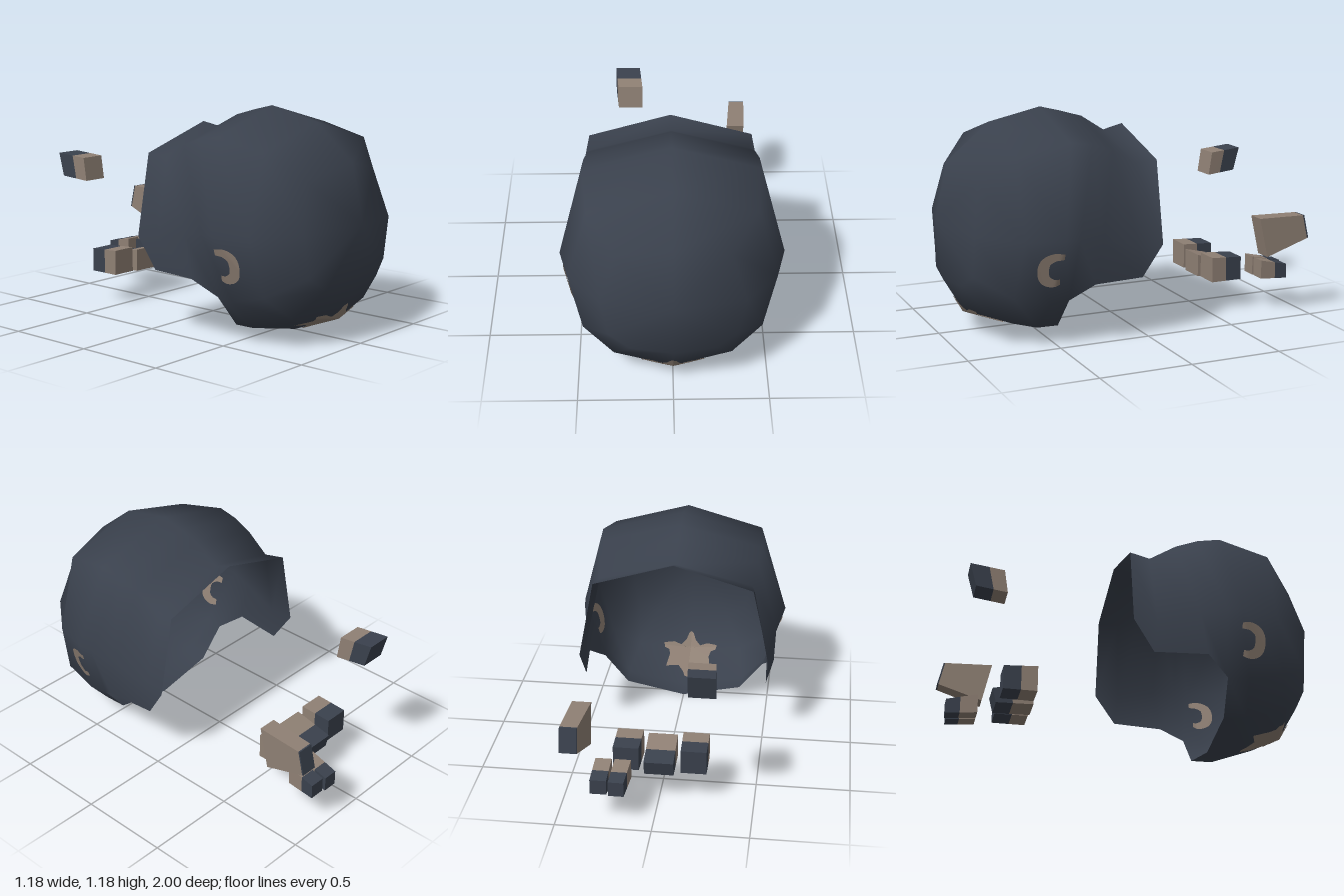
import * as THREE from 'three';
import { mergeVertices } from 'three/addons/utils/BufferGeometryUtils.js';

const flat = (name, color, side = THREE.FrontSide) => {
  const m = new THREE.MeshStandardMaterial({ color, side });
  m.name = name;
  return m;
};

// Half of the shell: spokes running from the front centre to the open rim, as [x, y, z]
const APEX = [0, 0.62, 1];
const SPOKES = [
  // top centre
  [[0, 0.93, 0.93], [0, 1.12, 0.7], [0, 1.185, 0.41], [0, 1.155, 0.29], [0, 1.12, 0.17], [0, 1.03, 0.03], [0, 1.065, -0.07]],
  // upper corner
  [[0.29, 0.86, 0.86], [0.43, 1.0, 0.7], [0.46, 1.06, 0.42], [0.455, 1.04, 0.3], [0.44, 1.0, 0.18], [0.42, 0.92, 0.04], [0.44, 0.935, -0.07]],
  // side
  [[0.37, 0.6, 0.91], [0.54, 0.585, 0.7], [0.59, 0.585, 0.5], [0.58, 0.58, 0.42], [0.55, 0.56, 0.28], [0.51, 0.5, 0.06], [0.525, 0.5, -0.07]],
  // lower side, ending along the bottom edge of the opening
  [[0.33, 0.38, 0.91], [0.47, 0.28, 0.74], [0.485, 0.235, 0.55], [0.47, 0.24, 0.44], [0.54, 0.33, 0.32], [0.51, 0.33, 0.04], [0.525, 0.5, -0.07]],
  // chin corner
  [[0.22, 0.31, 0.94], [0.31, 0.15, 0.8], [0.345, 0.075, 0.57], [0.335, 0.07, 0.45]],
  // chin centre
  [[0, 0.3, 0.97], [0, 0.11, 0.86], [0, 0, 0.58], [0, 0, 0.45]],
];

function shellGeometry() {
  const spokes = [];
  for (let k = 0; k < 10; k++) {
    spokes.push(k <= 5 ? SPOKES[k] : SPOKES[10 - k].map(([x, y, z]) => [-x, y, z]));
  }
  const pos = [];
  const tri = (a, b, c) => {
    const same = (p, q) => p.every((v, i) => v === q[i]);
    if (!same(a, b) && !same(b, c) && !same(a, c)) pos.push(...a, ...b, ...c);
  };
  spokes.forEach((s, k) => {
    const n = spokes[(k + 1) % 10];
    tri(APEX, n[0], s[0]);
    for (let r = 0; r < Math.min(s.length, n.length) - 1; r++) {
      tri(s[r], n[r], n[r + 1]);
      tri(s[r], n[r + 1], s[r + 1]);
    }
  });
  let g = new THREE.BufferGeometry();
  g.setAttribute('position', new THREE.Float32BufferAttribute(pos, 3));
  g = mergeVertices(g);
  g.computeVertexNormals();
  return g;
}

// Lays a grid of flat points onto the shell along a ray, lifted slightly off the surface
function decalGeometry(shell, nu, nv, point, toRay, lift) {
  const pos = [], index = [];
  for (let i = 0; i <= nu; i++) {
    for (let j = 0; j <= nv; j++) {
      const [a, b] = point(i / nu, j / nv);
      const [origin, dir] = toRay(a, b);
      const hit = new THREE.Raycaster(origin, dir).intersectObject(shell)[0];
      const p = hit ? hit.point.clone().addScaledVector(hit.face.normal, lift) : origin;
      if (!hit) p.set(0, 0.3, 0.9);
      pos.push(p.x, p.y, p.z);
    }
  }
  const w = nv + 1;
  for (let i = 0; i < nu; i++) {
    for (let j = 0; j < nv; j++) {
      const a = i * w + j;
      index.push(a, a + w, a + w + 1, a, a + w + 1, a + 1);
    }
  }
  const g = new THREE.BufferGeometry();
  g.setAttribute('position', new THREE.Float32BufferAttribute(pos, 3));
  g.setIndex(index);
  g.computeVertexNormals();
  return g;
}

// Star outline on the chin, right half, from top to bottom
const STAR = [[0, 0.2], [0.015, 0.19], [0.03, 0.155], [0.06, 0.13], [0.105, 0.148], [0.165, 0.147], [0.16, 0.125],
  [0.13, 0.115], [0.122, 0.1], [0.135, 0.066], [0.06, 0.06], [0.03, 0.04], [0.015, 0.024], [0, 0.02]];
const starLoop = [...STAR, ...STAR.slice(1, -1).reverse().map(([x, y]) => [-x, y]), STAR[0]];

function starPoint(u, v) {
  const f = u * (starLoop.length - 1), i = Math.min(Math.floor(f), starLoop.length - 2), t = f - i;
  const mix = (k) => starLoop[i][k] * (1 - t) + starLoop[i + 1][k] * t;
  return [mix(0) * v, 0.1 + (mix(1) - 0.1) * v];
}

// Hook mark on each side, as [z, y]
const hook = new THREE.CatmullRomCurve3([[0.5, 0.5], [0.55, 0.5], [0.593, 0.473], [0.602, 0.42], [0.588, 0.378], [0.55, 0.358], [0.512, 0.362]]
  .map(([z, y]) => new THREE.Vector3(z, y, 0)));

function hookPoint(u, v) {
  const p = hook.getPoint(u), t = hook.getTangent(u);
  const w = (v - 0.5) * (0.03 + 0.028 * Math.sin(Math.PI * u));
  return [p.x - t.y * w, p.y + t.x * w];
}

// Tapered block; each end is [x0, x1, yBottom, yTop, zBottom, zTop], t runs front to back
function blockGeometry(front, back, t0, t1) {
  const g = new THREE.BoxGeometry(1, 1, 1), p = g.attributes.position;
  for (let i = 0; i < p.count; i++) {
    const t = p.getZ(i) > 0 ? t0 : t1;
    const e = front.map((f, k) => f + (back[k] - f) * t);
    const top = p.getY(i) > 0;
    p.setXYZ(i, p.getX(i) > 0 ? e[1] : e[0], top ? e[3] : e[2], top ? e[5] : e[4]);
  }
  g.computeVertexNormals();
  return g;
}

export function createModel() {
  const model = new THREE.Group();
  const slate = flat('dark slate', 0x3a414d, THREE.DoubleSide);
  const tan = flat('warm tan', 0x8f8074, THREE.DoubleSide);
  const add = (name, geometry, material, parent = model) => {
    const m = new THREE.Mesh(geometry, material);
    m.name = name;
    parent.add(m);
    return m;
  };

  // Open-backed shell
  const shell = add('shell', shellGeometry(), slate);
  shell.updateMatrixWorld(true);

  // Painted marks, on the outer and inner faces
  for (const lift of [0.005, -0.005]) {
    const face = lift > 0 ? 'Outer' : 'Inner';
    add('chinStar' + face, decalGeometry(shell, 104, 8, starPoint,
      (x, y) => [new THREE.Vector3(x, y, 3), new THREE.Vector3(0, 0, -1)], lift), tan);
    for (const s of [1, -1]) {
      add((s > 0 ? 'left' : 'right') + 'Hook' + face, decalGeometry(shell, 32, 6, hookPoint,
        (z, y) => [new THREE.Vector3(3 * s, y, z), new THREE.Vector3(-s, 0, 0)], lift), tan);
    }
  }

  // Loose blocks behind the shell: tan towards the front, slate towards the back
  const blocks = [
    ['rightToe', [-0.25, -0.11, 0.17, 0.31, -0.52, -0.52], [-0.25, -0.115, 0.17, 0.3, -0.7, -0.7], 0.48],
    ['middleToe', [-0.08, 0.075, 0.165, 0.29, -0.515, -0.515], [-0.08, 0.075, 0.16, 0.24, -0.715, -0.735], 0.55],
    ['leftToe', [0.1, 0.24, 0.17, 0.31, -0.52, -0.52], [0.105, 0.24, 0.17, 0.3, -0.7, -0.7], 0.48],
    ['innerPairBlock', [0.13, 0.215, 0.18, 0.285, -0.79, -0.79], [0.145, 0.225, 0.17, 0.25, -0.96, -0.96], 0.55],
    ['outerPairBlock', [0.23, 0.315, 0.18, 0.285, -0.79, -0.79], [0.235, 0.32, 0.17, 0.25, -0.95, -0.95], 0.55],
    ['upperBlock', [-0.295, -0.155, 0.7, 0.83, -0.7, -0.72], [-0.31, -0.17, 0.715, 0.845, -0.87, -0.905], 0.45],
    ['sideWedge', [0.345, 0.445, 0.34, 0.56, -0.75, -0.7], [0.37, 0.46, 0.43, 0.56, -1, -0.97], 0.97],
  ];
  for (const [name, front, back, split] of blocks) {
    const group = new THREE.Group();
    group.name = name;
    add(name + 'Front', blockGeometry(front, back, 0, split), tan, group);
    add(name + 'Back', blockGeometry(front, back, split, 1), slate, group);
    model.add(group);
  }
  return model;
}
